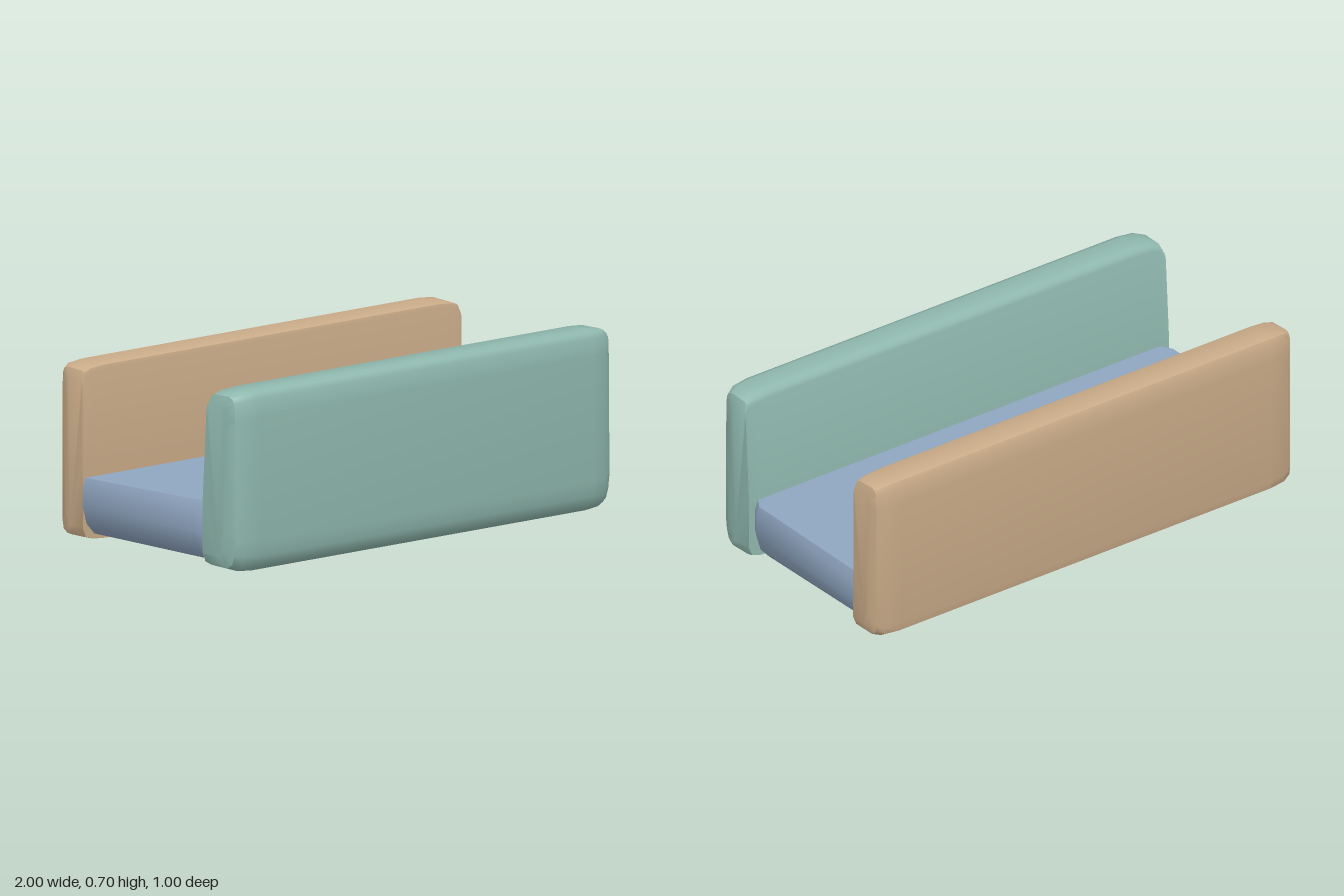
import * as THREE from 'three';
import { toCreasedNormals } from 'three/addons/utils/BufferGeometryUtils.js';

// Closed skin over rings ordered along +axis, each counter-clockwise seen from +axis
function loft(rings) {
  const n = rings[0].length, pos = rings.flat(2), index = [];
  for (let i = 0; i < rings.length - 1; i++) {
    for (let j = 0; j < n; j++) {
      const a = i * n + j, b = i * n + (j + 1) % n;
      index.push(a, b, b + n, a, b + n, a + n);
    }
  }
  const last = (rings.length - 1) * n;
  for (let j = 1; j < n - 1; j++) {
    index.push(0, j + 1, j, last, last + j, last + j + 1);
  }
  const geo = new THREE.BufferGeometry();
  geo.setAttribute('position', new THREE.Float32BufferAttribute(pos, 3));
  geo.setIndex(index);
  return toCreasedNormals(geo, 0.75);
}

// Upright cushion: a (z, y) profile running along x, its ends drawn in
// towards the inner face and the mid height
function panel(profile, innerZ) {
  const zs = profile.map((p) => new THREE.Vector2(p[0], p[1]));
  if (!THREE.ShapeUtils.isClockWise(zs)) zs.reverse();
  const stations = [
    [-1, 0.62, 0.84], [-0.985, 0.86, 0.95], [-0.95, 0.96, 0.985], [-0.88, 1, 1],
    [0.88, 1, 1], [0.95, 0.96, 0.985], [0.985, 0.86, 0.95], [1, 0.62, 0.84],
  ];
  return loft(stations.map(([x, sz, sy]) =>
    zs.map((p) => [x, 0.35 + (p.y - 0.35) * sy, innerZ + (p.x - innerZ) * sz])));
}

export function createModel() {
  const group = new THREE.Group();
  const teal = new THREE.MeshStandardMaterial({ name: 'sageTeal', color: 0x8fb8ae });
  const tan = new THREE.MeshStandardMaterial({ name: 'warmTan', color: 0xc9ab88 });
  const blue = new THREE.MeshStandardMaterial({ name: 'slateBlue', color: 0x8fa5c0 });
  const add = (name, geo, mat) => {
    const mesh = new THREE.Mesh(geo, mat);
    mesh.name = name;
    group.add(mesh);
  };

  // Front wall, thicker at the foot with a leaning inner face
  add('frontPanel', panel([
    [0.45, 0], [0.34, 0.004], [0.306, 0.012], [0.306, 0.25], [0.34, 0.67], [0.346, 0.69],
    [0.36, 0.7], [0.455, 0.7], [0.48, 0.69], [0.492, 0.67], [0.496, 0.6],
    [0.5, 0.12], [0.492, 0.06], [0.478, 0.02],
  ], 0.306), teal);

  // Back wall, upright inner face
  add('backPanel', panel([
    [-0.349, 0.017], [-0.351, 0.3], [-0.354, 0.67], [-0.358, 0.685], [-0.37, 0.69],
    [-0.465, 0.696], [-0.485, 0.69], [-0.494, 0.67], [-0.497, 0.6],
    [-0.497, 0.07], [-0.489, 0.035], [-0.465, 0.019],
  ], -0.349), tan);

  // Floor slab between the walls: flat top, ends tapering in underneath
  const half = [[0.85, 0], [0.94, 0.025], [0.98, 0.07], [1, 0.14], [1, 0.22], [0.985, 0.262]];
  const outline = [...half, ...half.map(([x, y]) => [-x, y]).reverse()];
  const floorRings = [[-0.352, 0.018, 1], [0.26, 0.005, 1], [0.31, 0.003, 0.97]].map(([z, lift, sx]) =>
    outline.map(([x, y]) => [x * sx, y + lift * (1 - y / 0.262), z]));
  add('floor', loft(floorRings), blue);

  return group;
}
